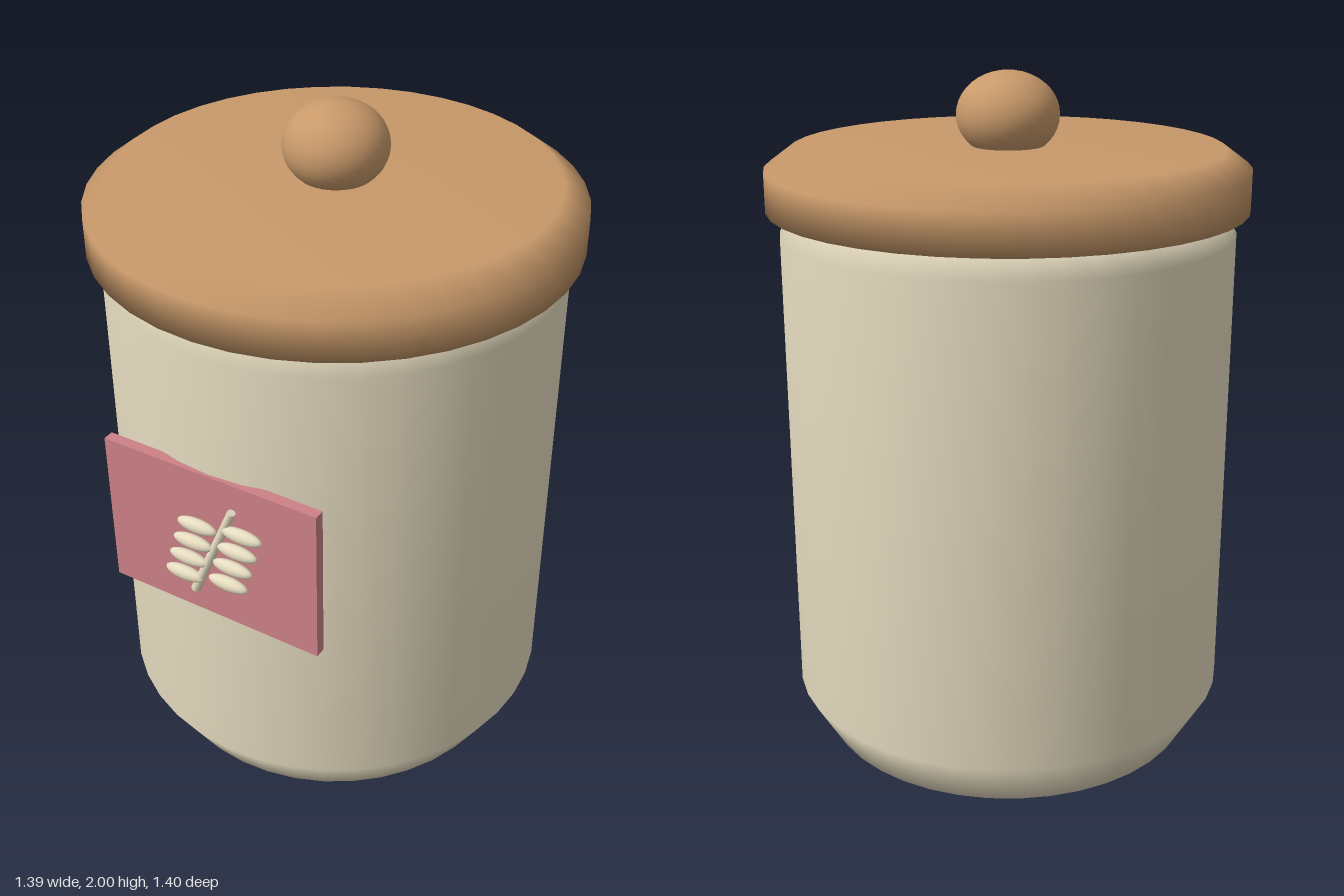
import * as THREE from 'three';

const material = (color) => new THREE.MeshStandardMaterial({ color });
const cream = material(0xe6dcc0);
const wood = material(0xc8996a);
const pink = material(0xcd8287);

function add(parent, name, geometry, mat, x = 0, y = 0, z = 0) {
  const mesh = new THREE.Mesh(geometry, mat);
  mesh.name = name;
  mesh.position.set(x, y, z);
  parent.add(mesh);
  return mesh;
}

// Smooth turned solid from [radius, height] pairs, listed bottom to top
function turned(profile) {
  return new THREE.LatheGeometry(profile.map(([r, y]) => new THREE.Vector2(r, y)), 40);
}

export function createModel() {
  const model = new THREE.Group();
  model.name = 'canister';
  const axisZ = -0.006;

  // Jar with chamfered foot and shoulder
  add(model, 'jarBody', turned([
    [0, 0], [0.57, 0], [0.658, 0.15], [0.658, 1.55], [0.61, 1.63], [0, 1.63],
  ]), cream, 0, 0, axisZ);

  // Lid with a bevelled top edge
  add(model, 'lid', turned([
    [0, 1.62], [0.695, 1.62], [0.695, 1.735], [0.62, 1.79], [0, 1.79],
  ]), wood, 0, 0, axisZ);

  // Slightly flattened knob
  const knob = add(model, 'lidKnob', new THREE.SphereGeometry(0.148, 32, 20), wood, 0, 1.877, axisZ);
  knob.scale.y = 0.123 / 0.148;

  // Flat label plate on the front
  add(model, 'label', new THREE.BoxGeometry(0.68, 0.482, 0.032), pink, 0, 0.946, 0.645);

  // Raised sprig: leaning stem with four pairs of leaves
  const sprig = new THREE.Group();
  sprig.name = 'sprig';
  model.add(sprig);
  const foot = new THREE.Vector2(-0.05, 0.785);
  const tip = new THREE.Vector2(0.085, 1.108);
  const lean = Math.atan2(tip.x - foot.x, tip.y - foot.y);
  const stem = add(sprig, 'stem', new THREE.CylinderGeometry(0.012, 0.014, foot.distanceTo(tip), 10),
    cream, (foot.x + tip.x) / 2, (foot.y + tip.y) / 2, 0.674);
  stem.rotation.z = -lean;

  const leafShape = new THREE.SphereGeometry(1, 20, 12);
  for (let i = 0; i < 4; i++) {
    for (const side of [-1, 1]) {
      const x = (side < 0 ? -0.08 : 0.066) + i * 0.0175;
      const y = (side < 0 ? 0.834 : 0.857) + i * 0.0625;
      const leaf = add(sprig, side < 0 ? 'rightLeaf' : 'leftLeaf', leafShape, cream, x, y, 0.68);
      leaf.scale.set(0.064, 0.022, 0.019);
    }
  }

  return model;
}
